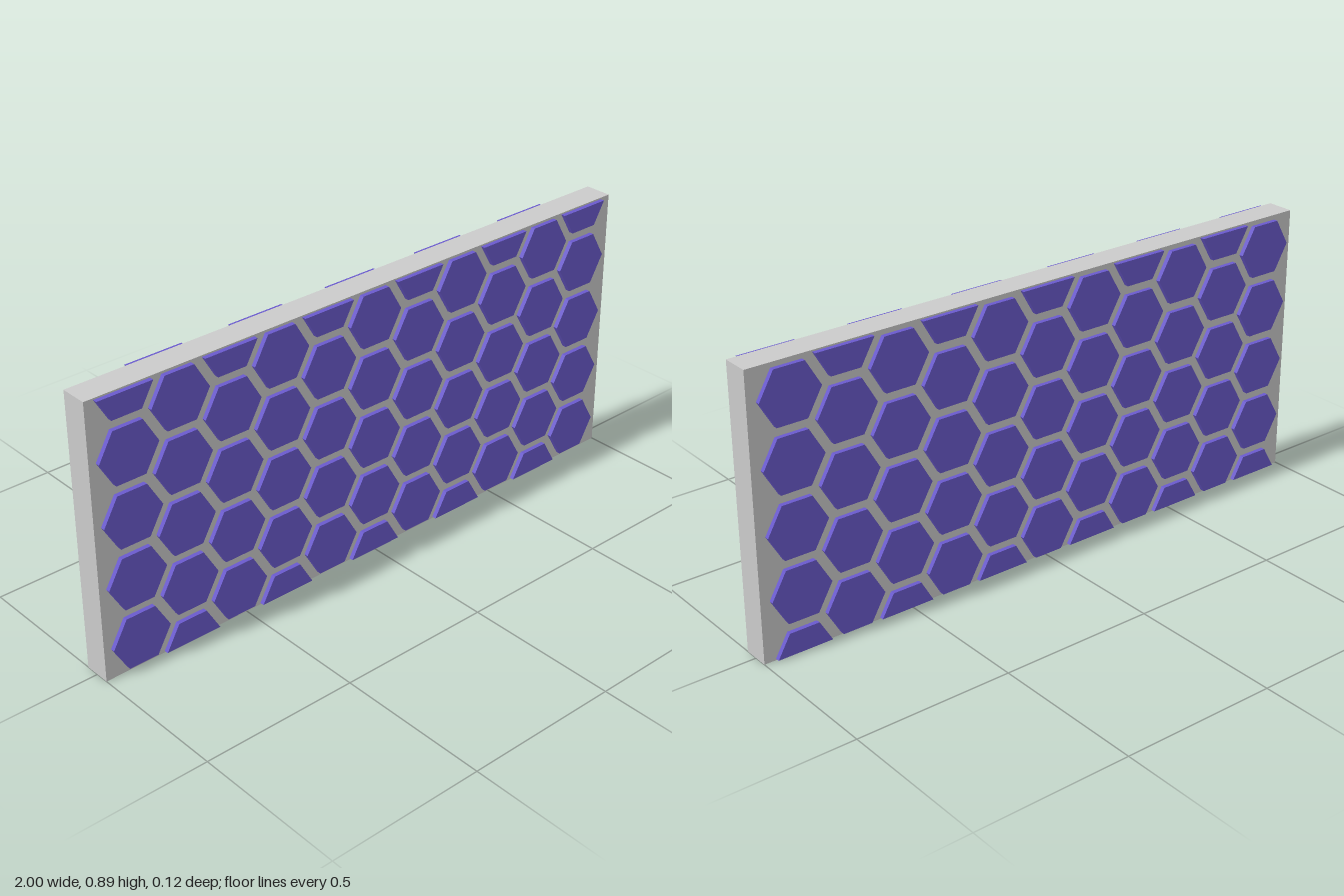
import * as THREE from 'three';

const WIDTH = 2, HEIGHT = 0.892, HALF_DEPTH = 0.044;
const RADIUS = 0.0975, TILE_DEPTH = 0.0145;
const COLUMNS = 11, COLUMN_STEP = 0.1752, ROW_STEP = 0.2;
const FIRST_X = -0.8795, CLIP_LOW = 0.005, CLIP_HIGH = 0.887;

// Hexagon with flat top and bottom, cut off at the panel's upper and lower rims
function tileShape(x, y) {
  const apothem = RADIUS * Math.sqrt(3) / 2;
  const low = Math.max(-apothem, CLIP_LOW - y);
  const high = Math.min(apothem, CLIP_HIGH - y);
  if (high - low < 0.005) return null;
  const levels = low < 0 && high > 0 ? [low, 0, high] : [low, high];
  const side = (s) => levels.map((d) =>
    new THREE.Vector2(x + s * (RADIUS - Math.abs(d) / Math.sqrt(3)), y + d));
  return new THREE.Shape([...side(1), ...side(-1).reverse()]);
}

// One face of staggered raised tiles
function tileFace(name, material) {
  const face = new THREE.Group();
  face.name = name;
  for (let c = 0; c < COLUMNS; c++) {
    for (let r = 0; r < 5; r++) {
      const y = r * ROW_STEP + (c % 2 === 0 ? ROW_STEP / 2 : 0);
      const shape = tileShape(FIRST_X + c * COLUMN_STEP, y);
      if (!shape) continue;
      const geometry = new THREE.ExtrudeGeometry(shape, { depth: TILE_DEPTH, bevelEnabled: false });
      const tile = new THREE.Mesh(geometry, material);
      tile.name = 'hexTile';
      tile.position.z = HALF_DEPTH;
      face.add(tile);
    }
  }
  return face;
}

export function createModel() {
  const model = new THREE.Group();
  model.name = 'hexTilePanel';
  const grey = new THREE.MeshStandardMaterial({ color: 0xcccccc });
  const purple = new THREE.MeshStandardMaterial({ color: 0x6a5acd });

  // Slab
  const panel = new THREE.Mesh(new THREE.BoxGeometry(WIDTH, HEIGHT, HALF_DEPTH * 2), grey);
  panel.name = 'panel';
  panel.position.y = HEIGHT / 2;
  model.add(panel);

  // Front tiles, and the same pattern turned over for the back
  model.add(tileFace('frontTiles', purple));
  const back = tileFace('backTiles', purple);
  back.rotation.x = Math.PI;
  back.position.y = HEIGHT;
  model.add(back);
  return model;
}
